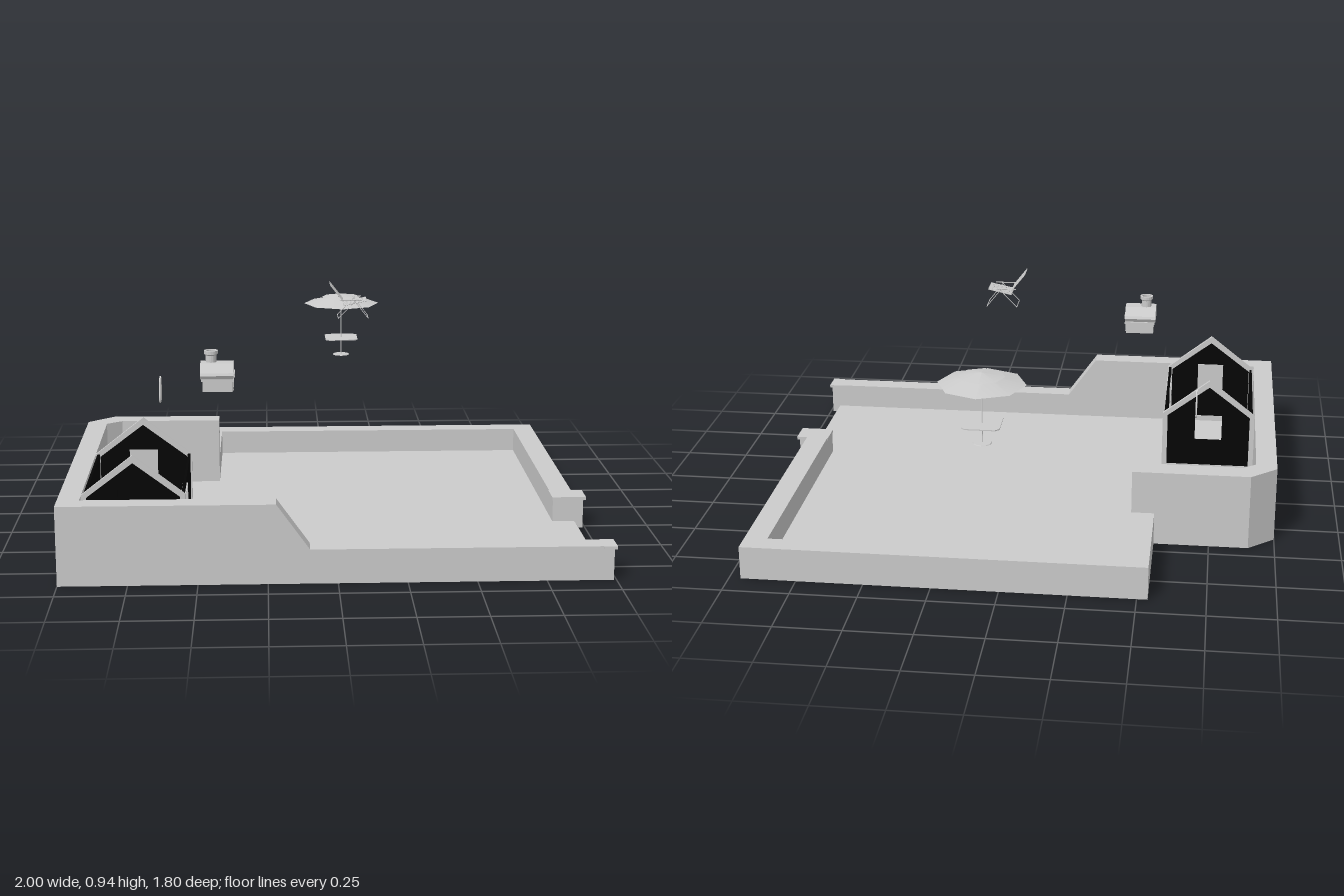
import * as THREE from 'three';

const grey = new THREE.MeshStandardMaterial({ color: 0xcccccc, flatShading: true });
const greyThin = new THREE.MeshStandardMaterial({ color: 0xcccccc, flatShading: true, side: THREE.DoubleSide });
const greySmooth = new THREE.MeshStandardMaterial({ color: 0xcccccc, side: THREE.DoubleSide });
const black = new THREE.MeshStandardMaterial({ color: 0x050505, side: THREE.DoubleSide });

function add(parent, name, geometry, material = grey, x = 0, y = 0, z = 0) {
  const mesh = new THREE.Mesh(geometry, material);
  mesh.name = name;
  mesh.position.set(x, y, z);
  parent.add(mesh);
  return mesh;
}

// Box given by its limits on each axis
function block(parent, name, [x0, x1], [y0, y1], [z0, z1], material = grey) {
  return add(parent, name, new THREE.BoxGeometry(x1 - x0, y1 - y0, z1 - z0), material,
    (x0 + x1) / 2, (y0 + y1) / 2, (z0 + z1) / 2);
}

function group(parent, name, x = 0, y = 0, z = 0) {
  const g = new THREE.Group();
  g.name = name;
  g.position.set(x, y, z);
  parent.add(g);
  return g;
}

// Round bar between two points
function rod(parent, name, a, b, r) {
  const p = new THREE.Vector3(...a), q = new THREE.Vector3(...b);
  const mesh = add(parent, name, new THREE.CylinderGeometry(r, r, p.distanceTo(q), 6));
  mesh.position.copy(p).add(q).multiplyScalar(0.5);
  mesh.quaternion.setFromUnitVectors(new THREE.Vector3(0, 1, 0), q.sub(p).normalize());
}

const outline = pts => new THREE.Shape(pts.map(p => new THREE.Vector2(...p)));
const rect = (x0, x1, y0, y1) => [[x0, y0], [x1, y0], [x1, y1], [x0, y1]];

function slab(shape, depth, holes = []) {
  for (const h of holes) shape.holes.push(outline(h));
  return new THREE.ExtrudeGeometry(shape, { depth, bevelEnabled: false, curveSegments: 16 });
}

// Wall swept through stations [outerX, outerZ, innerX, innerZ, top], hollow and open underneath
function wall(stations, bottom) {
  const pos = [];
  const rings = stations.map(([ox, oz, ix, iz, h]) => [[ox, bottom, oz], [ox, h, oz], [ix, h, iz], [ix, bottom, iz]]);
  const quad = (a, b, c, d) => pos.push(...a, ...b, ...c, ...a, ...c, ...d);
  for (let i = 0; i + 1 < rings.length; i++) {
    for (let j = 0; j < 3; j++) quad(rings[i][j], rings[i + 1][j], rings[i + 1][j + 1], rings[i][j + 1]);
  }
  quad(...rings[0]);
  quad(...[...rings[rings.length - 1]].reverse());
  const g = new THREE.BufferGeometry();
  g.setAttribute('position', new THREE.Float32BufferAttribute(pos, 3));
  g.computeVertexNormals();
  return g;
}

function buildYard(root) {
  const yard = group(root, 'yard');
  const H = 0.295, L = 0.115, C = 0.127, F = 0.028;
  // Floor
  const floor = outline([[0.87, 0.817], [-0.452, 0.817], [-0.452, 0.352], [-0.86, 0.352], [-0.92, 0.308],
    [-0.92, -0.815], [0.957, -0.815], [0.957, -0.18], [0.87, -0.18]]);
  add(yard, 'floor', new THREE.ShapeGeometry(floor).rotateX(-Math.PI / 2), greyThin, 0, F, 0);
  // Sloped threshold in the gateway
  const sill = new THREE.PlaneGeometry(0.54, Math.hypot(0.018, F));
  sill.rotateX(-Math.atan2(0.018, F)).rotateY(Math.PI / 2);
  add(yard, 'threshold', sill, greyThin, 0.966, F / 2, 0.545);
  // Low wall round the back
  add(yard, 'lowWall', wall([[0.957, 0.2, 0.87, 0.2, C], [0.957, -0.9, 0.87, -0.817, C],
    [-0.54, -0.9, -0.452, -0.817, C], [-0.54, -0.42, -0.452, -0.42, C]], 0), greyThin);
  // High wall, stepping down along the front
  add(yard, 'highWall', wall([[-0.452, -0.432, -0.452, -0.352, H], [-0.9, -0.432, -0.86, -0.352, H],
    [-1, -0.343, -0.92, -0.308, H], [-1, 0.895, -0.92, 0.815, H], [-0.22, 0.895, -0.22, 0.815, H],
    [-0.1, 0.895, -0.1, 0.815, C], [0.99, 0.895, 0.99, 0.815, C]], 0), greyThin);
  // Gate pillar
  add(yard, 'gatePillar', wall([[0.99, 0.272, 0.87, 0.272, L], [0.99, 0.183, 0.87, 0.183, L]], 0), greyThin);
  block(yard, 'pillarCoping', [0.867, 1], [L, C], [0.177, 0.277]);
  block(yard, 'endCoping', [0.95, 1], [L, C], [0.812, 0.9]);
}

function buildHut(root) {
  const hut = group(root, 'hut');
  const gable = (half, eave, peak, base) =>
    [[-half, base], [half, base], [half, eave], [0, peak], [-half, eave]];
  // Gables: pale frame around a dark panel with a window
  for (const z of [0.19, 0.754]) {
    const end = group(hut, 'gable', -0.732, 0, z);
    const inner = gable(0.168, 0.29, 0.417, 0.075);
    add(end, 'gableFrame', slab(outline(gable(0.188, 0.298, 0.445, 0.07)), 0.015, [inner]));
    add(end, 'gablePanel', slab(outline(inner), 0.009, [rect(-0.055, 0.055, 0.185, 0.317)]), black, 0, 0, 0.003);
  }
  // Side walls, one with a doorway
  block(hut, 'leftSideWall', [-0.912, -0.902], [0.07, 0.3], [0.205, 0.755], black);
  const doorWall = outline([[-0.755, 0.07], [-0.69, 0.07], [-0.69, 0.275], [-0.55, 0.275], [-0.55, 0.07],
    [-0.205, 0.07], [-0.205, 0.3], [-0.755, 0.3]]);
  add(hut, 'doorWall', slab(doorWall, 0.01), black, -0.56, 0, 0).rotation.y = Math.PI / 2;
  // Door frame
  for (const z of [0.545, 0.687]) block(hut, 'doorJamb', [-0.564, -0.545], [0.07, 0.28], [z, z + 0.008]);
  block(hut, 'doorLintel', [-0.564, -0.545], [0.272, 0.28], [0.545, 0.695]);
}

function buildOven(root) {
  const oven = group(root, 'oven', -0.435, 0.597, 0.375);
  // Base with arched mouth facing the right side
  const base = new THREE.Shape();
  base.moveTo(-0.055, 0).lineTo(-0.031, 0).absarc(0, 0, 0.031, Math.PI, 0, true);
  base.lineTo(0.055, 0).lineTo(0.055, 0.043).lineTo(-0.055, 0.043);
  add(oven, 'ovenBase', slab(base, 0.113), grey, -0.055, 0, 0).rotation.y = Math.PI / 2;
  block(oven, 'ovenBack', [-0.054, -0.045], [0, 0.04], [-0.034, 0.034]);
  const arch = add(oven, 'mouthArch', new THREE.TorusGeometry(0.03, 0.004, 6, 16, Math.PI), grey, 0.058, 0, 0);
  arch.rotation.y = Math.PI / 2;
  // Shelf and sloped hood
  block(oven, 'ovenShelf', [-0.06, 0.063], [0.04, 0.048], [-0.06, 0.06]);
  const hood = outline([[-0.052, 0.048], [0.052, 0.048], [0.06, 0.062], [0.055, 0.072], [0.027, 0.104],
    [-0.027, 0.104], [-0.055, 0.072], [-0.06, 0.062]]);
  add(oven, 'ovenHood', slab(hood, 0.125), grey, -0.063, 0, 0).rotation.y = Math.PI / 2;
  for (const z of [-0.025, 0, 0.025]) block(oven, 'ventBrick', [0.058, 0.066], [0.052, 0.066], [z - 0.01, z + 0.01]);
  // Hollow chimney with a rim
  const flue = [[0.02, 0.1], [0.02, 0.13], [0.026, 0.135], [0.026, 0.148], [0.018, 0.148], [0.018, 0.105], [0, 0.105]];
  add(oven, 'chimney', new THREE.LatheGeometry(flue.map(p => new THREE.Vector2(...p)), 16), greyThin, -0.023, 0, -0.005);
}

function buildPanel(root) {
  // Thin rounded upright board
  const s = new THREE.Shape();
  s.moveTo(-0.04, 0).lineTo(0.04, 0).quadraticCurveTo(0.062, 0.005, 0.052, 0.035);
  s.lineTo(0.03, 0.085).quadraticCurveTo(0.015, 0.104, 0, 0.104);
  s.quadraticCurveTo(-0.015, 0.104, -0.03, 0.085).lineTo(-0.052, 0.035);
  s.quadraticCurveTo(-0.062, 0.005, -0.04, 0);
  add(root, 'uprightBoard', slab(s, 0.006), grey, -0.686, 0.43, -0.147).rotation.y = Math.PI / 2;
}

function buildChair(root) {
  const chair = group(root, 'deckChair', 0, 0, 0.012);
  const r = 0.0015, w = 0.045;
  const back = [[0.003, 0.938], [0.055, 0.872]], seat = [[0.055, 0.855], [0.148, 0.875]];
  for (const z of [-w, w]) {
    const at = ([x, y]) => [x, y, z];
    rod(chair, 'backRail', at(back[0]), at(back[1]), r);
    rod(chair, 'seatRail', at(seat[0]), at(seat[1]), r);
    rod(chair, 'armRest', [0.038, 0.878, z], [0.128, 0.878, z], 0.002);
    rod(chair, 'rearLeg', [0.035, 0.805, z], [0.105, 0.878, z], r);
    rod(chair, 'frontLeg', [0.153, 0.805, z], [0.095, 0.878, z], r);
  }
  for (const x of [0.035, 0.153]) rod(chair, 'footBar', [x, 0.805, -w], [x, 0.805, w], r);
  // Woven straps on back and seat
  for (const [[x0, y0], [x1, y1]] of [back, seat]) {
    const length = Math.hypot(x1 - x0, y1 - y0), tilt = Math.atan2(y1 - y0, x1 - x0);
    for (let i = 0; i < 6; i++) {
      const t = (i + 0.5) / 6;
      const strap = add(chair, 'crossStrap', new THREE.BoxGeometry(0.011, 0.002, 2 * w), grey,
        x0 + (x1 - x0) * t, y0 + (y1 - y0) * t, 0);
      strap.rotation.z = tilt;
    }
    for (let i = -2; i <= 2; i++) {
      const strap = add(chair, 'longStrap', new THREE.BoxGeometry(length, 0.0025, 0.009), grey,
        (x0 + x1) / 2, (y0 + y1) / 2, i * 0.017);
      strap.rotation.z = tilt;
    }
  }
}

function buildParasol(root) {
  const set = group(root, 'parasolTable', 0.08, 0, -0.71);
  const cone = (rTop, rBottom, h) => new THREE.CylinderGeometry(rTop, rBottom, h, 8, 1, true).rotateY(Math.PI / 2);
  add(set, 'canopy', cone(0.03, 0.162, 0.03), greySmooth, 0, 0.747, 0);
  add(set, 'canopyCap', cone(0.002, 0.085, 0.014), greySmooth, 0, 0.767, 0);
  rod(set, 'pole', [0, 0.505, 0], [0, 0.774, 0], 0.002);
  // Ribs under the canopy
  for (let i = 0; i < 8; i++) {
    const a = i * Math.PI / 4;
    rod(set, 'rib', [0, 0.758, 0], [0.158 * Math.cos(a), 0.731, 0.158 * Math.sin(a)], 0.001);
  }
  // Square table top with clipped corners, and round foot
  const c = 0.055, e = 0.07;
  const top = outline([[-c, -e], [c, -e], [e, -c], [e, c], [c, e], [-c, e], [-e, c], [-e, -c]]);
  add(set, 'tableTop', slab(top, 0.004).rotateX(-Math.PI / 2), grey, 0, 0.577, 0);
  add(set, 'foot', new THREE.CylinderGeometry(0.034, 0.036, 0.003, 12), grey, 0, 0.504, 0);
}

export function createModel() {
  const root = new THREE.Group();
  root.name = 'walledYard';
  for (const build of [buildYard, buildHut, buildOven, buildPanel, buildChair, buildParasol]) build(root);
  return root;
}
